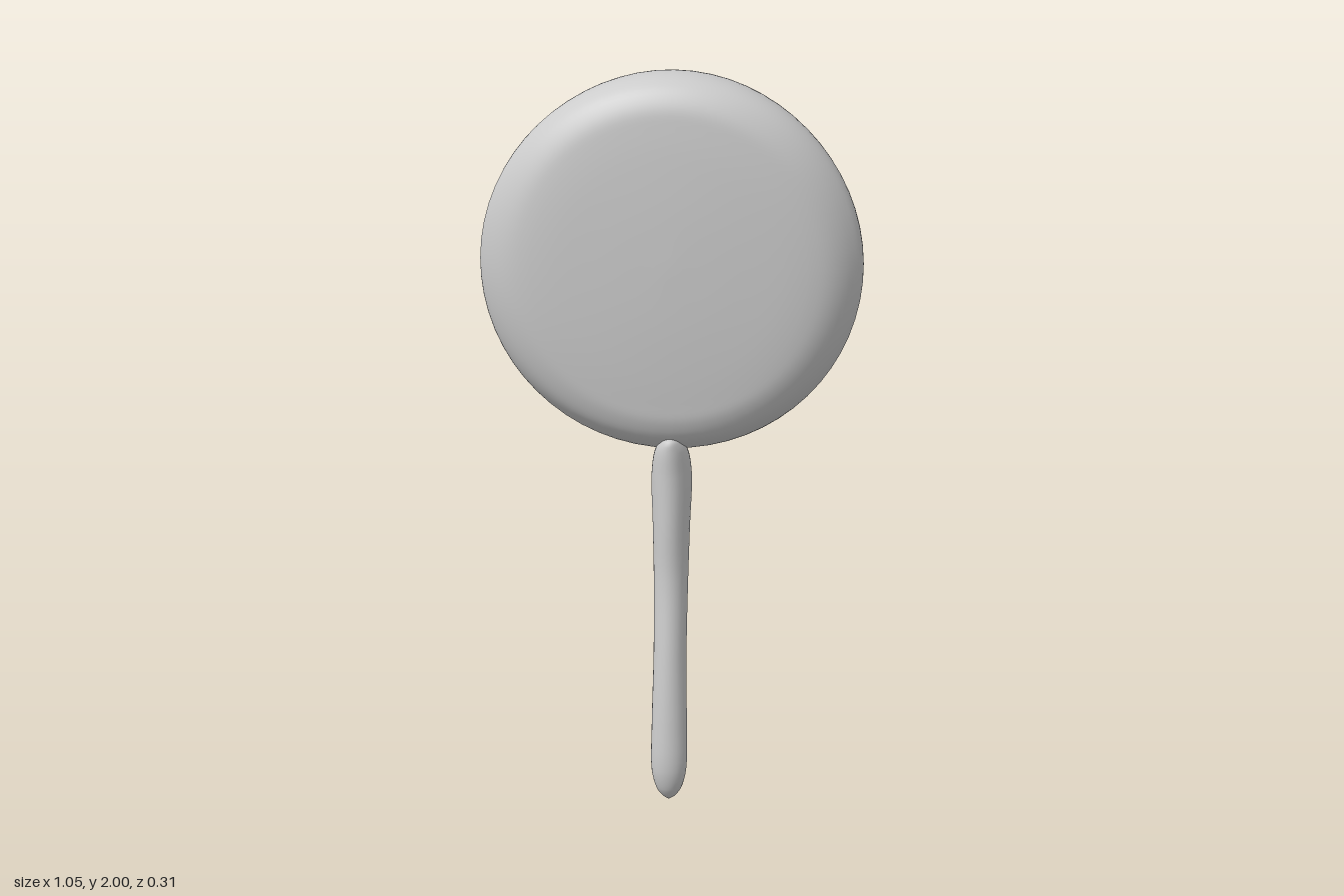
import * as THREE from 'three';
import { mergeVertices } from 'three/addons/utils/BufferGeometryUtils.js';

const material = new THREE.MeshStandardMaterial({ color: 0xcccccc });

// Closed smooth surface from point(u, angle), with u running from pole to pole.
function loft(rows, cols, point) {
  const positions = [], index = [];
  for (let i = 0; i <= rows; i++) {
    for (let j = 0; j < cols; j++) {
      positions.push(...point(i / rows, (j / cols) * Math.PI * 2));
      if (i === rows) continue;
      const k = (j + 1) % cols, a = i * cols + j, b = i * cols + k;
      index.push(a, a + cols, b, b, a + cols, b + cols);
    }
  }
  const raw = new THREE.BufferGeometry();
  raw.setAttribute('position', new THREE.Float32BufferAttribute(positions, 3));
  raw.setIndex(index);
  const geometry = mergeVertices(raw, 1e-5);
  geometry.computeVertexNormals();
  return geometry;
}

const spline = (points) =>
  new THREE.CatmullRomCurve3(points.map((p) => new THREE.Vector3(...p)), false, 'centripetal');

// Paddle cross-sections as (radius, z), front centre to back centre.
const section = (points) => spline(points.map(([r, z]) => [r, z, 0]));
const sideSection = section([[0, 0.137], [0.2, 0.13], [0.38, 0.115], [0.45, 0.095], [0.5, 0.06],
  [0.525, 0.025], [0.5, -0.045], [0.46, -0.1], [0.39, -0.138], [0.25, -0.15], [0, -0.152]]);
const topSection = section([[0, 0.137], [0.2, 0.132], [0.38, 0.12], [0.45, 0.108], [0.5, 0.072],
  [0.52, 0.01], [0.514, -0.07], [0.485, -0.115], [0.42, -0.146], [0.25, -0.154], [0, -0.152]]);
const bottomSection = section([[0, 0.137], [0.2, 0.132], [0.38, 0.12], [0.44, 0.112], [0.49, 0.085],
  [0.524, 0.015], [0.51, -0.06], [0.47, -0.115], [0.4, -0.143], [0.25, -0.148], [0, -0.152]]);

function paddlePoint(u, angle) {
  const c = Math.cos(angle), s = Math.sin(angle);
  const end = s > 0 ? topSection : bottomSection;
  const p = sideSection.getPoint(u).lerp(end.getPoint(u), s * s);
  return [p.x * c, 1.48 + p.x * s, p.y];
}

// Handle stations as (y, z centre, half width, half depth), top to bottom.
const stations = [[1.005, 0.06, 0, 0], [0.99, 0.055, 0.024, 0.05], [0.96, 0.042, 0.044, 0.068],
  [0.89, 0.03, 0.055, 0.077], [0.75, 0.04, 0.051, 0.067], [0.6, 0.053, 0.047, 0.053],
  [0.4, 0.082, 0.045, 0.048], [0.2, 0.108, 0.048, 0.043], [0.08, 0.119, 0.047, 0.039],
  [0.03, 0.121, 0.033, 0.027], [0.009, 0.122, 0.016, 0.013], [0, 0.122, 0, 0]];
const handleCentre = spline(stations.map(([y, z]) => [0, y, z]));
const handleSize = spline(stations.map(([y, , w, d]) => [w, y, d]));

function handlePoint(u, angle) {
  const c = handleCentre.getPoint(u), size = handleSize.getPoint(u);
  return [size.x * Math.sin(angle), c.y, c.z + size.z * Math.cos(angle)];
}

export function createModel() {
  const group = new THREE.Group();
  const add = (name, geometry) => {
    const mesh = new THREE.Mesh(geometry, material);
    mesh.name = name;
    group.add(mesh);
  };
  add('paddleHead', loft(50, 64, paddlePoint));
  add('handle', loft(44, 24, handlePoint));
  return group;
}
